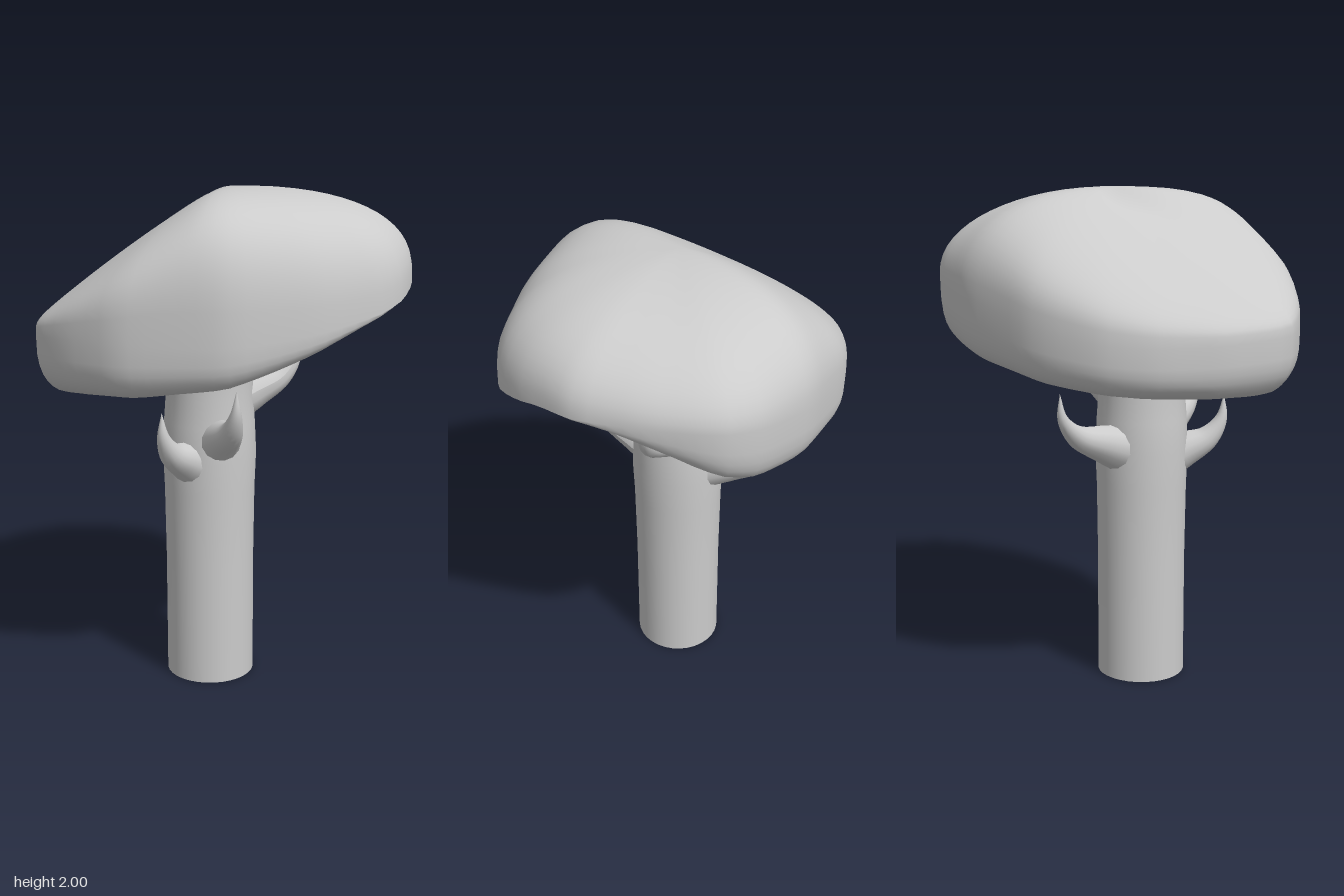
import * as THREE from 'three';

const material = new THREE.MeshStandardMaterial({ color: 0xcccccc, side: THREE.DoubleSide });
const TRUNK_X = -0.07, TRUNK_Z = 0.07;

function add(parent, name, geometry) {
  const mesh = new THREE.Mesh(geometry, material);
  mesh.name = name;
  parent.add(mesh);
  return mesh;
}

// Plan outline of the canopy, x and z
const outline = [
  [-0.72, 0.06], [-0.66, -0.2], [-0.57, -0.36], [-0.45, -0.47], [-0.32, -0.55], [0.01, -0.65],
  [0.28, -0.65], [0.42, -0.6], [0.5, -0.52], [0.6, -0.38], [0.66, -0.27], [0.72, -0.14],
  [0.72, 0.1], [0.68, 0.25], [0.6, 0.36], [0.37, 0.52], [0.05, 0.645], [-0.34, 0.615],
  [-0.55, 0.5], [-0.69, 0.37], [-0.72, 0.26],
];

// Flat crown that slopes away to the right side, with a soft ridge
function roofHeight(x) {
  const d = 0.66 * (x + 0.04);
  return 2.005 + (d - Math.sqrt(d * d + 0.001)) / 2;
}

// Tilted underside, arched between front and back
function undersideHeight(x, z) {
  return Math.max(1.15, 1.41 + 0.38 * x - (0.55 + 0.6 * x) * z * z);
}

// Height of the widest line, low on the right side and dipping at two corners
function rimHeight(x, z) {
  const twist = x > 0 && z < 0 ? 0 : 0.22 * x * z;
  return 1.53 + (x > 0 ? 0.19 : 0.13) * x - 0.1 * z - twist;
}

// Squareness of the rounding towards a direction, above and below the rim
function squareness(cx, cz, top) {
  if (!top) return 3.1 + 0.4 * Math.max(0, -cx);
  const front = Math.max(0, cz), back = Math.max(0, -cz);
  const left = Math.max(0, cx), right = Math.max(0, -cx);
  return 2.45 + 0.85 * front * (1 - 0.7 * left) + 1.1 * right - 1.0 * left * back;
}

function canopyGeometry() {
  const around = 72, half = 16;
  const curve = new THREE.CatmullRomCurve3(
    outline.map(([x, z]) => new THREE.Vector3(x, 0, z)), true, 'catmullrom', 0.25);
  const rim = curve.getSpacedPoints(around).slice(0, around);
  const positions = [], index = [];
  // Rings run from the crown over the rim to the middle of the underside
  for (let j = 0; j <= 2 * half; j++) {
    const phi = (1 - j / half) * Math.PI / 2;
    const top = phi > 0;
    for (const p of rim) {
      const len = Math.hypot(p.x, p.z);
      const n = squareness(p.x / len, p.z / len, top);
      const s = Math.pow(Math.max(0, Math.cos(phi)), 2 / n);
      const h = Math.pow(Math.abs(Math.sin(phi)), 2 / n);
      const x = p.x * s, z = p.z * s;
      const rimY = rimHeight(p.x, p.z);
      const goal = top ? roofHeight(x) : undersideHeight(x, z);
      positions.push(x, rimY + (goal - rimY) * h, z);
    }
  }
  for (let j = 0; j < 2 * half; j++) {
    for (let i = 0; i < around; i++) {
      const k = (i + 1) % around;
      const a = j * around + i, b = j * around + k;
      const c = a + around, d = b + around;
      if (j > 0) index.push(a, b, c);
      if (j < 2 * half - 1) index.push(b, d, c);
    }
  }
  const geometry = new THREE.BufferGeometry();
  geometry.setAttribute('position', new THREE.Float32BufferAttribute(positions, 3));
  geometry.setIndex(index);
  geometry.computeVertexNormals();
  // All points of a pole coincide, so give them one normal
  const normal = geometry.attributes.normal;
  for (let i = 0; i < around; i++) {
    normal.setXYZ(i, -0.15, 0.99, 0);
    normal.setXYZ(2 * half * around + i, 0.35, -0.94, 0);
  }
  return geometry;
}

// Tapered branch that leaves the trunk and curls up to its tip
function branchGeometry(tipX, tipY, tipZ) {
  const dx = tipX - TRUNK_X, dz = tipZ - TRUNK_Z;
  const path = [[0.15, -0.28], [0.5, -0.23], [0.8, -0.18], [0.97, -0.1], [1, 0]];
  const curve = new THREE.CatmullRomCurve3(path.map(([f, y]) =>
    new THREE.Vector3(TRUNK_X + dx * f, tipY + y, TRUNK_Z + dz * f)));
  const steps = 24, sides = 14;
  const geometry = new THREE.TubeGeometry(curve, steps, 1, sides);
  const position = geometry.attributes.position, v = new THREE.Vector3();
  for (let i = 0; i <= steps; i++) {
    const centre = curve.getPointAt(i / steps);
    const radius = 0.11 * (1 - i / steps);
    for (let j = 0; j <= sides; j++) {
      const k = i * (sides + 1) + j;
      v.fromBufferAttribute(position, k).sub(centre).multiplyScalar(radius).add(centre);
      position.setXYZ(k, v.x, v.y, v.z);
    }
  }
  geometry.computeVertexNormals();
  return geometry;
}

export function createModel() {
  const group = new THREE.Group();
  group.name = 'tree';

  // Open-ended trunk, slightly swollen where the branches leave
  const profile = [[0.18, 0], [0.18, 0.5], [0.184, 0.8], [0.19, 0.95],
    [0.184, 1.08], [0.175, 1.2], [0.18, 1.32], [0.2, 1.52]];
  const trunk = add(group, 'trunk', new THREE.LatheGeometry(
    profile.map(([r, y]) => new THREE.Vector2(r, y)), 32));
  trunk.position.set(TRUNK_X, 0, TRUNK_Z);

  // Four short branches
  const tips = {
    frontLeftBranch: [0.07, 1.27, 0.41],
    frontRightBranch: [-0.22, 1.17, 0.37],
    backBranch: [-0.23, 1.23, -0.37],
    leftBranch: [0.28, 1.42, -0.07],
  };
  for (const [name, tip] of Object.entries(tips)) add(group, name, branchGeometry(...tip));

  add(group, 'canopy', canopyGeometry());
  return group;
}
